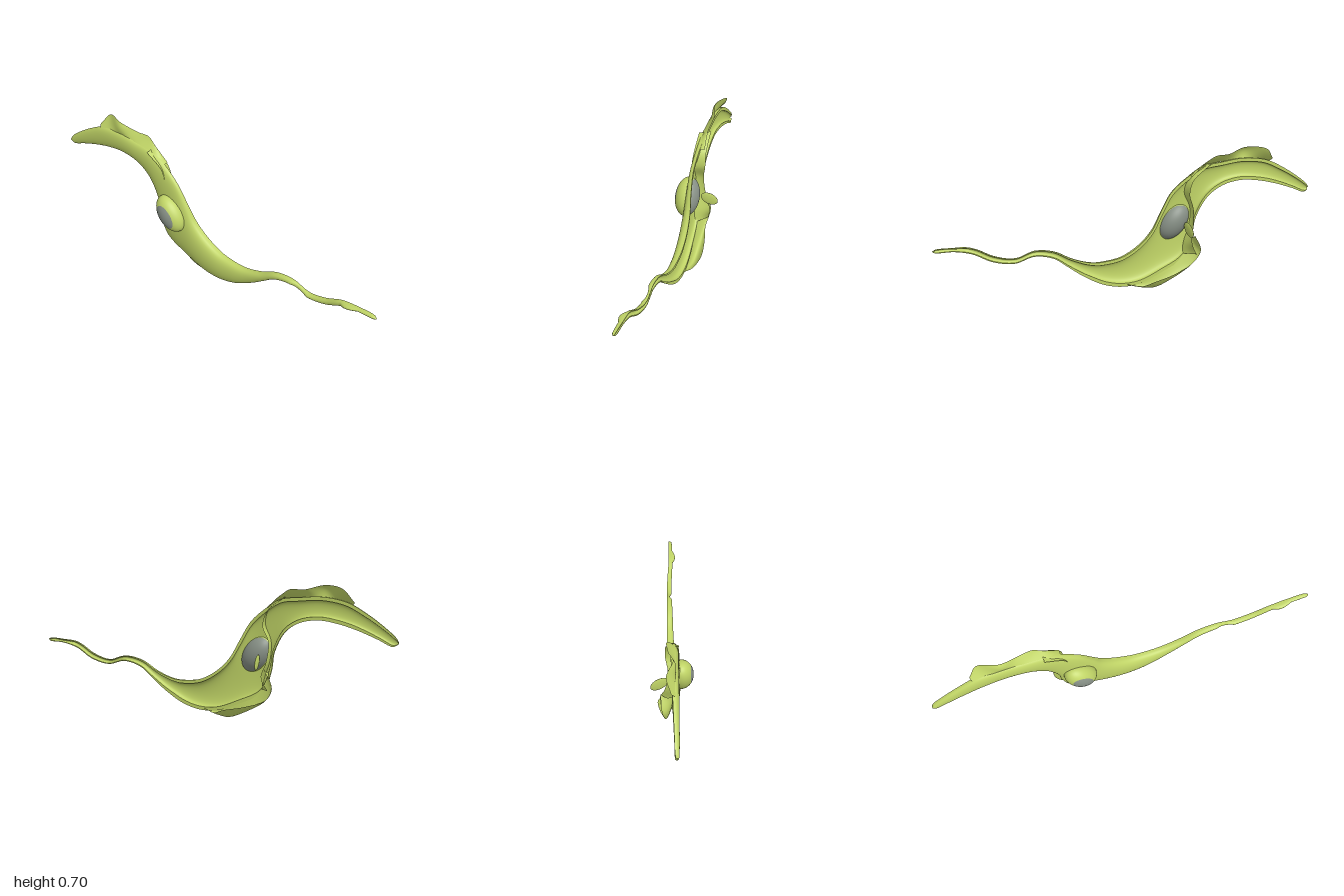
import * as THREE from 'three';

const green = new THREE.MeshStandardMaterial({ color: 0xc0d466, side: THREE.DoubleSide });
green.name = 'cell green';
const grey = new THREE.MeshStandardMaterial({ color: 0x879086, side: THREE.DoubleSide });
grey.name = 'nucleus grey';

const curve = (pts) => new THREE.CatmullRomCurve3(pts.map((p) => new THREE.Vector3(...p)));

// Smooth sheet through a grid of points given by at(u, v)
function sheet(name, at, nu, nv) {
  const pos = [], idx = [];
  for (let i = 0; i <= nu; i++) {
    for (let j = 0; j <= nv; j++) {
      pos.push(...at(i / nu, j / nv).toArray());
      if (i < nu && j < nv) {
        const a = i * (nv + 1) + j, b = a + nv + 1;
        idx.push(a, a + 1, b, b, a + 1, b + 1);
      }
    }
  }
  const g = new THREE.BufferGeometry();
  g.setAttribute('position', new THREE.Float32BufferAttribute(pos, 3));
  g.setIndex(idx);
  g.computeVertexNormals();
  const m = new THREE.Mesh(g, green);
  m.name = name;
  return m;
}

// Stations along the cell: top z, top y, bottom z, bottom y, outer x, rim x
const stations = [
  [1, 0.305, 1, 0.301, -0.012, -0.004],
  [0.985, 0.313, 0.985, 0.296, -0.018, 0],
  [0.9, 0.312, 0.9, 0.294, -0.02, 0.002],
  [0.8, 0.3, 0.81, 0.273, -0.02, 0.002],
  [0.7, 0.252, 0.71, 0.224, -0.014, 0.01],
  [0.6, 0.23, 0.6, 0.205, -0.012, 0.014],
  [0.5, 0.258, 0.5, 0.23, -0.012, 0.014],
  [0.4, 0.245, 0.4, 0.208, -0.014, 0.015],
  [0.3, 0.195, 0.33, 0.158, -0.016, 0.017],
  [0.2, 0.165, 0.25, 0.1, -0.02, 0.018],
  [0.12, 0.165, 0.15, 0.045, -0.027, 0.018],
  [0.04, 0.18, 0.05, 0.02, -0.033, 0.018],
  [-0.05, 0.23, -0.05, 0.025, -0.038, 0.016],
  [-0.12, 0.3, -0.17, 0.07, -0.042, 0.01],
  [-0.17, 0.39, -0.3, 0.14, -0.043, 0],
  [-0.23, 0.49, -0.345, 0.25, -0.04, -0.005],
  [-0.31, 0.56, -0.36, 0.34, -0.036, 0],
  [-0.4, 0.615, -0.42, 0.45, -0.032, 0.008],
  [-0.5, 0.63, -0.5, 0.505, -0.028, 0.01],
  [-0.62, 0.64, -0.6, 0.525, -0.027, 0.008],
  [-0.75, 0.62, -0.7, 0.515, -0.026, 0.006],
  [-0.85, 0.57, -0.8, 0.49, -0.025, 0.003],
  [-0.94, 0.51, -0.9, 0.455, -0.024, 0],
  [-0.99, 0.468, -0.975, 0.426, -0.022, -0.002],
  [-1, 0.45, -0.997, 0.436, -0.018, -0.006],
];

// Cell body: an open trough with a thick wall, drawn out into the flagellum
function makeBody() {
  const top = curve(stations.map((s) => [s[5], s[1], s[0]]));
  const bottom = curve(stations.map((s) => [s[5], s[3], s[2]]));
  const outer = curve(stations.map((s) => [s[4], 0, 0]));
  const section = (u, a, inner) => {
    const t = top.getPoint(u), b = bottom.getPoint(u), xo = outer.getPoint(u).x;
    const half = t.distanceTo(b) / 2;
    const k = inner ? 1 - Math.min(0.018, half * 0.35) / half : 1;
    const depth = (t.x - xo) * (inner ? 0.62 : 1);
    const p = b.lerp(t, 0.5 + 0.5 * k * Math.cos(a));
    p.x = t.x - depth * Math.pow(Math.max(0, Math.sin(a)), 0.65);
    return p;
  };
  const rim = (a) => (u, v) => section(u, a, false).lerp(section(u, a, true), v);
  const g = new THREE.Group();
  g.name = 'cellBody';
  g.add(
    sheet('outerWall', (u, v) => section(u, v * Math.PI, false), 192, 20),
    sheet('innerWall', (u, v) => section(u, v * Math.PI, true), 192, 20),
    sheet('upperRim', rim(0), 192, 2),
    sheet('lowerRim', rim(Math.PI), 192, 2),
  );
  return g;
}

// Ruffled membrane spanning a base, a middle and an edge line
function frill(name, lines) {
  const c = lines.map(curve);
  return sheet(name, (u, v) => {
    const [a, b, d] = c.map((l) => l.getPoint(u));
    return a.multiplyScalar((1 - v) * (1 - 2 * v))
      .addScaledVector(b, 4 * v * (1 - v)).addScaledVector(d, v * (2 * v - 1));
  }, 60, 8);
}

// Nucleus: tilted ellipsoid with a membrane band between two bare caps
function makeNucleus() {
  const g = new THREE.Group();
  g.name = 'nucleus';
  const bands = [['innerCap', 0, 1.19, grey], ['membraneBand', 1.19, 2.45, green], ['outerCap', 2.45, Math.PI, grey]];
  for (const [name, from, to, mat] of bands) {
    const geo = new THREE.SphereGeometry(1, 40, 14, 0, Math.PI * 2, from, to - from);
    geo.rotateZ(-Math.PI / 2).scale(0.064, 0.105, 0.07).rotateX(-0.64);
    const m = new THREE.Mesh(geo, mat);
    m.name = name;
    g.add(m);
  }
  g.position.set(-0.043, 0.325, -0.252);
  return g;
}

export function createModel() {
  const model = new THREE.Group();
  model.name = 'cell';
  model.add(makeBody(), makeNucleus());

  // Undulating membrane along the back
  model.add(frill('upperMembrane', [
    [[-0.01, 0.57, -0.33], [-0.01, 0.61, -0.4], [-0.01, 0.625, -0.48], [-0.01, 0.63, -0.55], [-0.01, 0.635, -0.63], [-0.01, 0.62, -0.72], [-0.01, 0.61, -0.77]],
    [[0.01, 0.57, -0.33], [0.012, 0.63, -0.4], [0.014, 0.65, -0.47], [0.004, 0.655, -0.55], [-0.012, 0.67, -0.63], [0.02, 0.66, -0.73], [0, 0.62, -0.78]],
    [[0.025, 0.57, -0.33], [0.022, 0.64, -0.41], [0.03, 0.67, -0.46], [0.022, 0.672, -0.53], [0.002, 0.697, -0.63], [0.034, 0.687, -0.735], [0.012, 0.63, -0.78]],
  ]));

  // Membrane crossing the cell beside the nucleus
  model.add(frill('crossingMembrane', [
    [[-0.03, 0.62, -0.42], [-0.03, 0.55, -0.32], [-0.035, 0.48, -0.3], [-0.035, 0.4, -0.33], [-0.035, 0.3, -0.325], [-0.03, 0.21, -0.3], [-0.02, 0.15, -0.29]],
    [[0, 0.625, -0.42], [0.005, 0.555, -0.33], [0, 0.48, -0.31], [-0.005, 0.4, -0.34], [0, 0.3, -0.335], [0.02, 0.215, -0.31], [0.02, 0.16, -0.31]],
    [[0.032, 0.63, -0.43], [0.033, 0.55, -0.335], [0.034, 0.48, -0.315], [0.02, 0.4, -0.34], [0.035, 0.3, -0.335], [0.06, 0.23, -0.32], [0.045, 0.16, -0.35]],
  ]));

  // Undulating membrane under the belly
  model.add(frill('lowerMembrane', [
    [[0.01, 0.03, 0.02], [0.008, 0.035, -0.06], [0.006, 0.06, -0.13], [0.004, 0.09, -0.2], [0, 0.14, -0.28], [0, 0.19, -0.32], [0, 0.25, -0.335]],
    [[0.014, 0.025, 0.02], [0.018, 0.006, -0.07], [0.025, 0.002, -0.13], [0.025, 0.04, -0.22], [0.02, 0.1, -0.31], [0.025, 0.17, -0.36], [0.03, 0.25, -0.34]],
    [[0.018, 0.03, 0.02], [0.048, 0.02, -0.05], [0.07, 0.045, -0.12], [0.058, 0.07, -0.23], [0.035, 0.11, -0.335], [0.05, 0.18, -0.373], [0.058, 0.27, -0.335]],
  ]));

  // Small free flap standing out from the crossing
  const flap = new THREE.Mesh(new THREE.SphereGeometry(1, 24, 14), green);
  flap.name = 'sideFlap';
  flap.scale.set(0.048, 0.031, 0.006);
  flap.rotation.set(0, 0.2, -0.5);
  flap.position.set(0.063, 0.302, -0.3);
  model.add(flap);
  return model;
}
